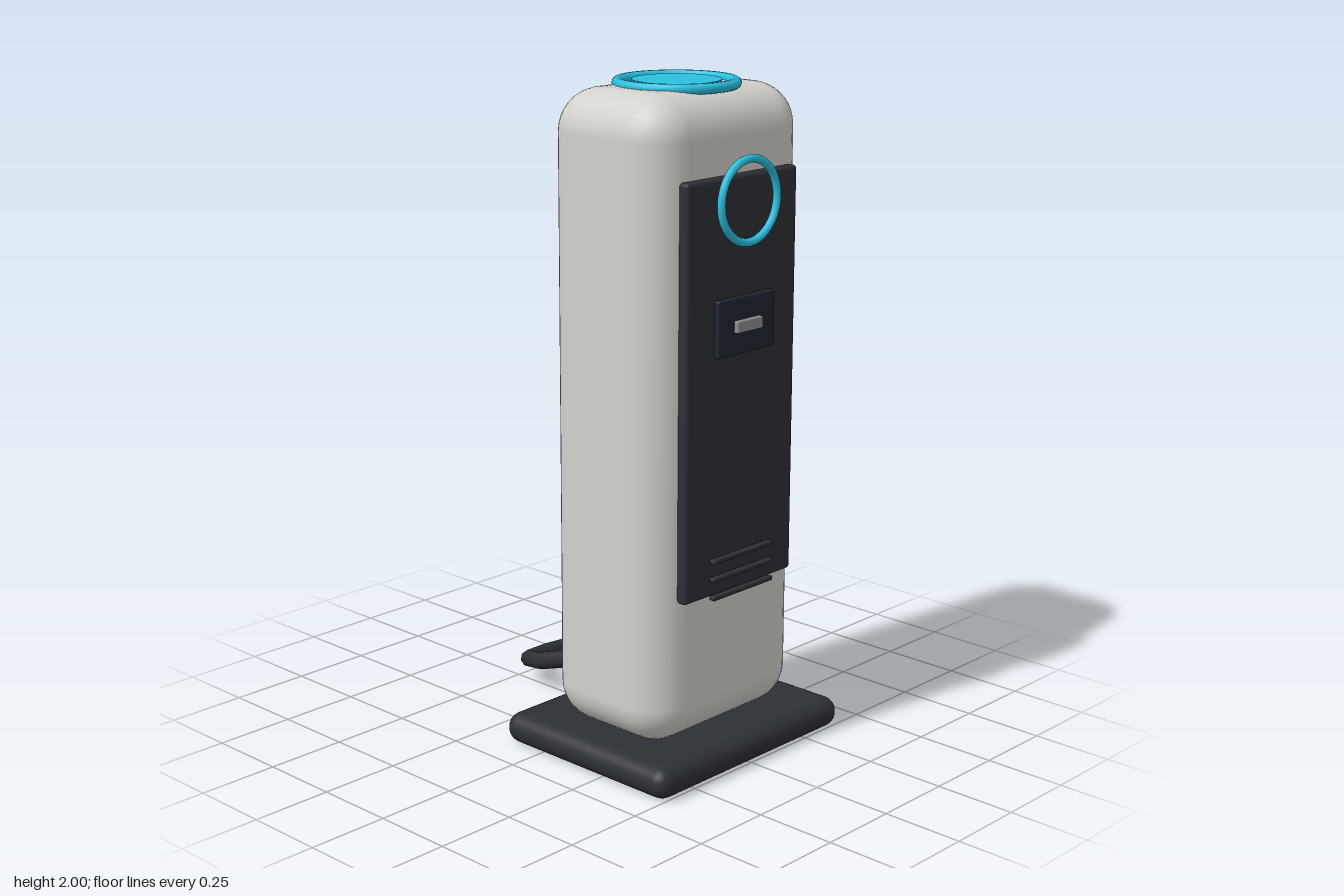
import * as THREE from 'three';
import { RoundedBoxGeometry } from 'three/addons/geometries/RoundedBoxGeometry.js';

const paint = (color) => new THREE.MeshStandardMaterial({ color });

export function createModel() {
  const model = new THREE.Group();
  const shell = paint(0xd3d1cc), dark = paint(0x2d3035), cyan = paint(0x2cc0e0);
  const screenBlue = paint(0x1f2430), metal = paint(0x8c8e90);

  const add = (name, geometry, material, x, y, z) => {
    const mesh = new THREE.Mesh(geometry, material);
    mesh.name = name;
    mesh.position.set(x, y, z);
    model.add(mesh);
    return mesh;
  };
  // Rounded box given by its min and max corners
  const block = (name, [x0, y0, z0], [x1, y1, z1], radius, material, segments = 2) =>
    add(name, new RoundedBoxGeometry(x1 - x0, y1 - y0, z1 - z0, segments, radius), material,
      (x0 + x1) / 2, (y0 + y1) / 2, (z0 + z1) / 2);

  // Foot plate and column
  block('base', [-0.402, 0, -0.145], [0.402, 0.094, 0.515], 0.045, dark, 3);
  block('body', [-0.32, 0.085, -0.044], [0.32, 1.982, 0.415], 0.125, shell, 4);

  // Front panel with screen and socket
  block('frontPanel', [-0.234, 0.538, 0.405], [0.232, 1.752, 0.442], 0.012, dark);
  block('screen', [-0.12, 1.244, 0.43], [0.12, 1.41, 0.46], 0.006, screenBlue);
  block('socket', [-0.056, 1.31, 0.45], [0.054, 1.345, 0.474], 0.004, metal);
  for (const y of [0.537, 0.592, 0.647]) {
    block('ventSlat', [-0.13, y - 0.007, 0.44], [0.13, y + 0.007, 0.461], 0.004, dark);
  }

  // Light rings on the front and the top
  add('frontRing', new THREE.TorusGeometry(0.118, 0.012, 10, 40), cyan, 0, 1.68, 0.462);
  const topRing = add('topRing', new THREE.TorusGeometry(0.169, 0.0155, 10, 40), cyan, 0, 1.985, 0.184);
  topRing.rotation.x = Math.PI / 2;
  add('topDisc', new THREE.CylinderGeometry(0.128, 0.128, 0.025, 40), cyan, 0, 1.982, 0.184);

  // Cable leaving the back and bending to the left, with rings at the given points
  const path = new THREE.CatmullRomCurve3([
    [0, 0.31, 0], [0, 0.21, -0.1], [0, 0.15, -0.2], [-0.016, 0.117, -0.285],
    [-0.03, 0.092, -0.37], [0, 0.07, -0.45], [0.115, 0.05, -0.487], [0.4, 0.05, -0.44],
  ].map((p) => new THREE.Vector3(...p)));
  path.getPointAt = path.getPoint;
  path.getTangentAt = path.getTangent;
  add('cable', new THREE.TubeGeometry(path, path.points.length - 1, 0.028, 8), dark, 0, 0, 0);
  const end = path.getPoint(1);
  const cap = add('cableEnd', new THREE.CircleGeometry(0.028, 8), dark, end.x, end.y, end.z);
  cap.lookAt(end.clone().add(path.getTangent(1)));

  return model;
}
